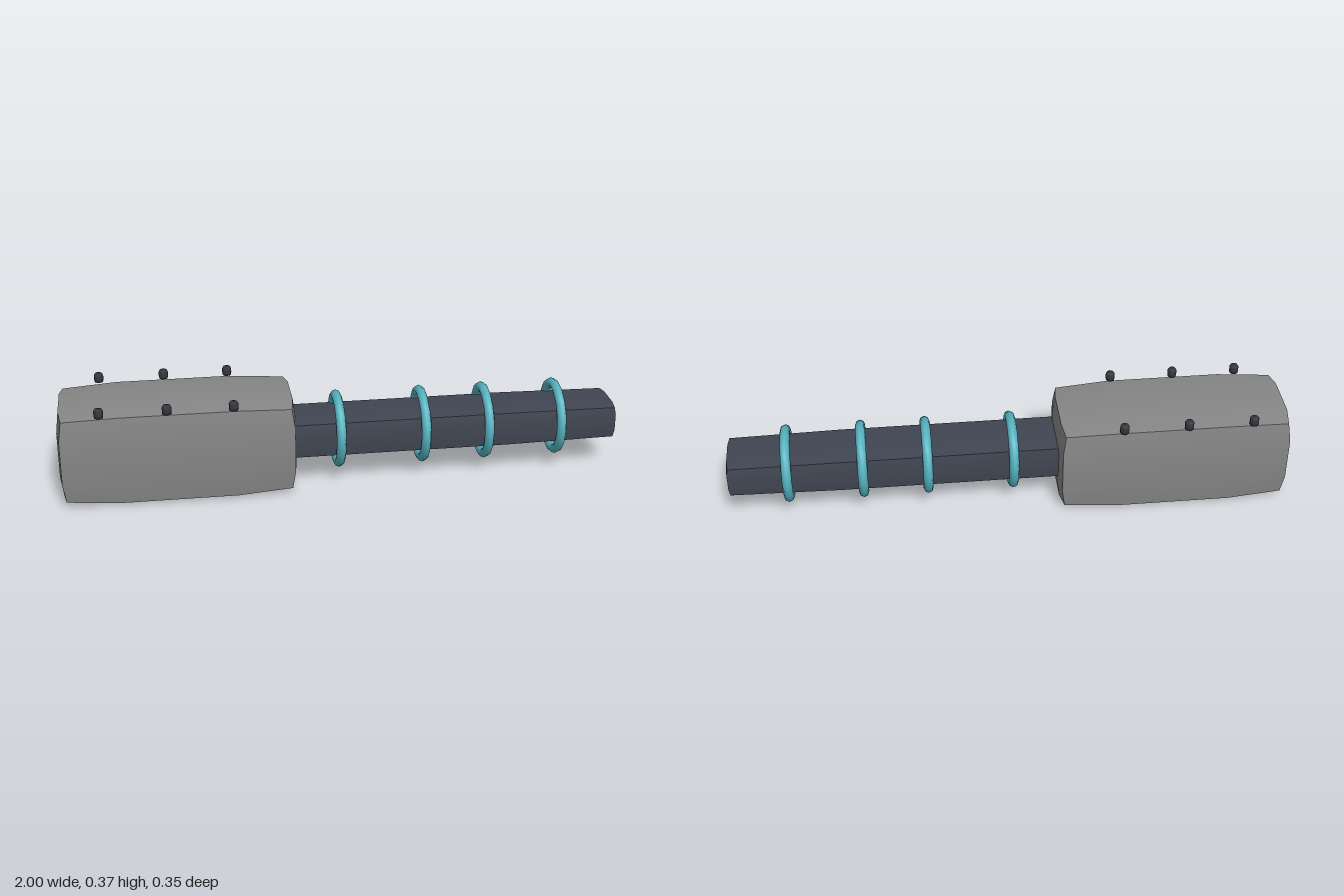
import * as THREE from 'three';

const mat = (name, color) => {
  const m = new THREE.MeshStandardMaterial({ color });
  m.name = name;
  return m;
};

// Box whose faces swell slightly: vertices on an edge are pulled inwards
function bulgedBox(w, h, d, pull) {
  const geo = new THREE.BoxGeometry(w, h, d, 4, 4, 4);
  const pos = geo.attributes.position;
  const half = [w / 2, h / 2, d / 2];
  const v = new THREE.Vector3();
  for (let i = 0; i < pos.count; i++) {
    v.fromBufferAttribute(pos, i);
    const c = v.toArray();
    const atEnd = c.map((n, k) => (Math.abs(n) > half[k] - 1e-5 ? 1 : 0));
    const out = c.map((n, k) => {
      const others = atEnd[0] + atEnd[1] + atEnd[2] - atEnd[k];
      return n * (1 - (others * pull) / half[k] * Math.abs(n) / half[k]);
    });
    pos.setXYZ(i, ...out);
  }
  geo.computeVertexNormals();
  return geo;
}

export function createModel() {
  const model = new THREE.Group();
  model.name = 'model';
  const grey = mat('grey casing', 0x868686);
  const slate = mat('dark slate', 0x404652);
  const teal = mat('teal ring', 0x56b4c2);
  const iron = mat('dark bolt', 0x33363c);

  const add = (name, geo, material, x, y, z) => {
    const mesh = new THREE.Mesh(geo, material);
    mesh.name = name;
    mesh.position.set(x, y, z);
    model.add(mesh);
    return mesh;
  };

  // Casing and the shaft running out of it
  add('casing', bulgedBox(0.83, 0.343, 0.342, 0.01), grey, -0.585, 0.1715, 0);
  add('shaft', bulgedBox(1.6, 0.132, 0.202, 0.0045), slate, 0.2, 0.173, 0);

  // Rings around the shaft
  const ringGeo = new THREE.TorusGeometry(0.122, 0.0175, 8, 16).rotateY(Math.PI / 2);
  [-0.012, 0.293, 0.523, 0.788].forEach((x, i) => {
    add(`ring${i + 1}`, ringGeo, teal, x, 0.173, 0);
  });

  // Two rows of bolts along the top edges
  const profile = [[0, 0], [0.015, 0], [0.0165, 0.009], [0.0165, 0.024], [0.013, 0.031], [0, 0.032]];
  const boltGeo = new THREE.LatheGeometry(profile.map(([r, y]) => new THREE.Vector2(r, y)), 12);
  for (const z of [-0.161, 0.161]) {
    for (const x of [-0.85, -0.62, -0.392]) {
      add(z > 0 ? 'frontBolt' : 'backBolt', boltGeo, iron, x, 0.339, z);
    }
  }
  return model;
}
